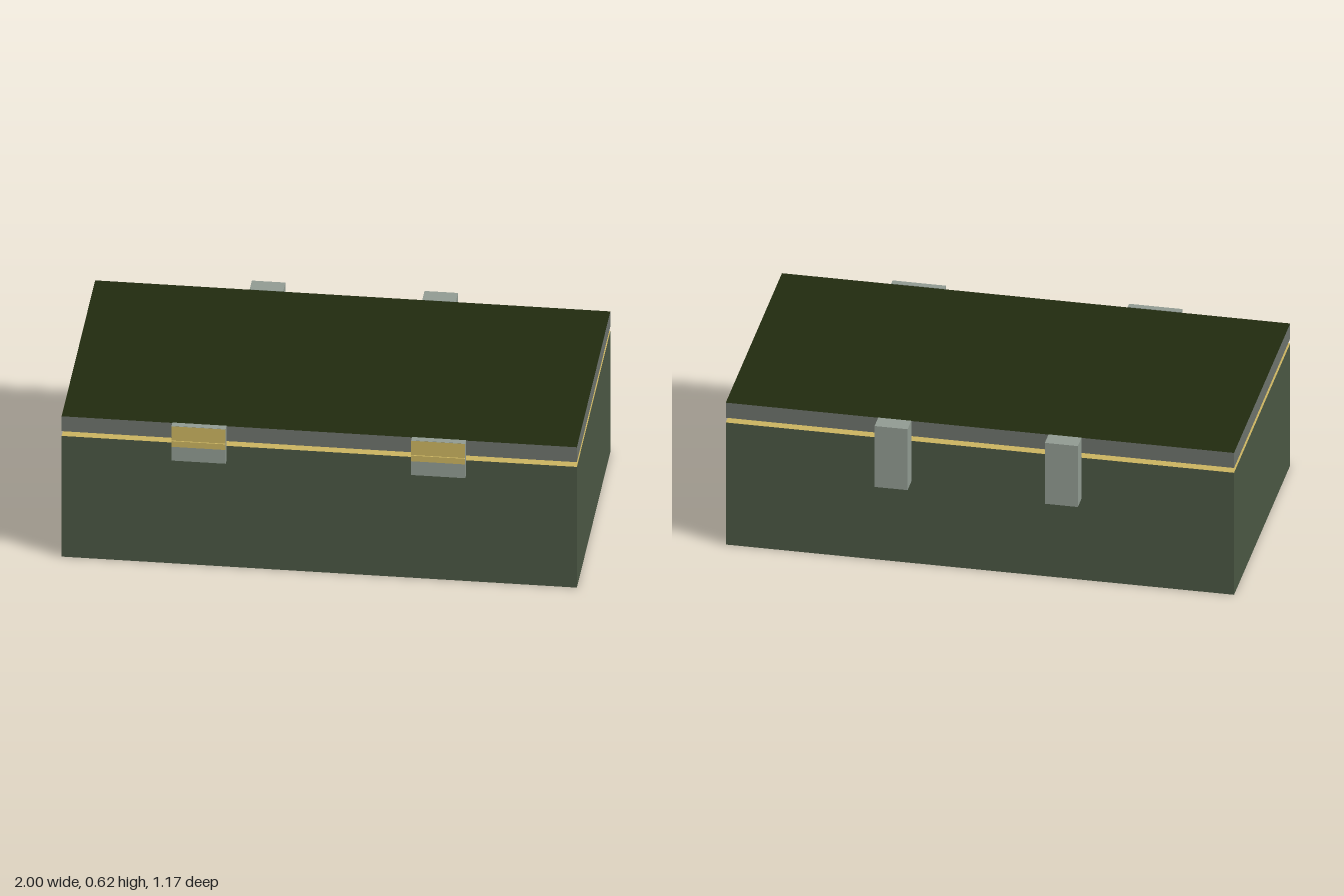
import * as THREE from 'three';

const mat = (name, color) => {
  const m = new THREE.MeshStandardMaterial({ color });
  m.name = name;
  return m;
};

export function createModel() {
  const model = new THREE.Group();
  model.name = 'hingedCase';
  const green = mat('bodyGreen', 0x4a5643);
  const darkGreen = mat('lidDarkGreen', 0x212a0f);
  const grey = mat('lidGrey', 0x6c726b);
  const steel = mat('paleSteel', 0x909a91);
  const gold = mat('gold', 0xc9b25f);

  // Box given by its limits; materials run +x, -x, +y, -y, +z, -z
  const box = (name, [x0, x1], [y0, y1], [z0, z1], material) => {
    const mesh = new THREE.Mesh(new THREE.BoxGeometry(x1 - x0, y1 - y0, z1 - z0), material);
    mesh.position.set((x0 + x1) / 2, (y0 + y1) / 2, (z0 + z1) / 2);
    mesh.name = name;
    model.add(mesh);
  };

  // Body with a gold rim face, and the lid floating just above it
  const depth = [-0.515, 0.552];
  box('body', [-1, 1], [0, 0.535], depth, [green, green, gold, green, green, green]);
  box('lid', [-1, 1], [0.556, 0.622], depth, [grey, grey, darkGreen, gold, grey, grey]);

  for (const side of [-1, 1]) {
    const label = side > 0 ? 'left' : 'right';
    const span = (a, b) => (side > 0 ? [a, b] : [-b, -a]);

    // Front latch: steel plate, gold upper face and a raised gold catch
    const width = span(0.36, 0.57);
    box(label + 'Latch', width, [0.47, 0.624], [0.552, 0.578], steel);
    box(label + 'LatchFace', width, [0.535, 0.623], [0.578, 0.58], [steel, steel, steel, steel, gold, steel]);
    box(label + 'LatchCatch', width, [0.535, 0.56], [0.58, 0.585], [steel, steel, gold, steel, gold, steel]);

    // Back hinge
    box(label + 'Hinge', span(0.27, 0.4), [0.356, 0.623], [-0.585, -0.515], steel);
  }
  return model;
}
